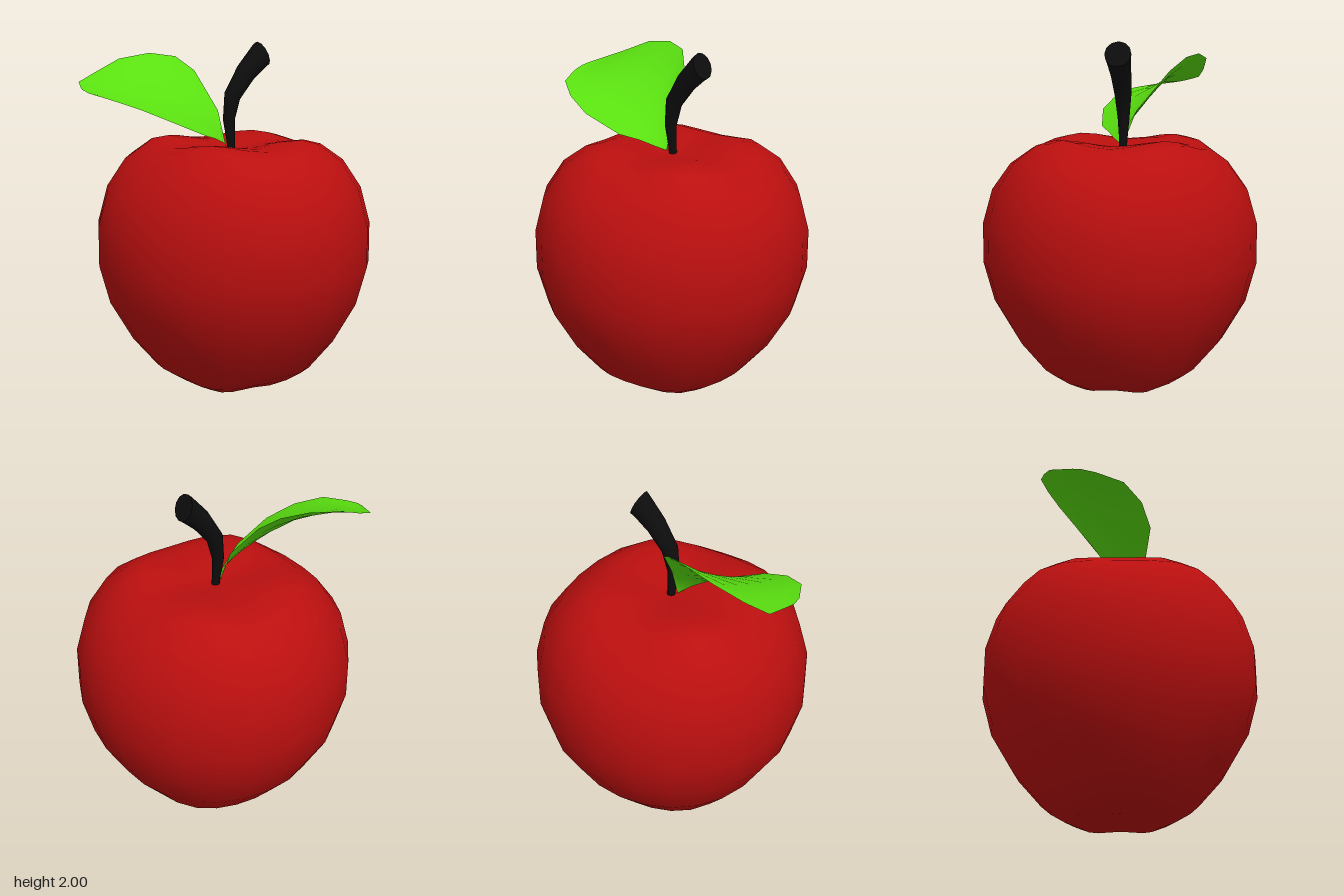
import * as THREE from 'three';
import { mergeVertices } from 'three/addons/utils/BufferGeometryUtils.js';

const material = (color, side = THREE.FrontSide) => new THREE.MeshStandardMaterial({ color, side });

// Smooth surface through rows of points; every row has the same length.
function loft(rows) {
  const n = rows[0].length;
  const index = [];
  for (let i = 0; i < rows.length - 1; i++) {
    for (let j = 0; j < n - 1; j++) {
      const a = i * n + j, b = a + n;
      index.push(a, b, a + 1, a + 1, b, b + 1);
    }
  }
  const raw = new THREE.BufferGeometry().setFromPoints(rows.flat());
  raw.setIndex(index);
  const geometry = mergeVertices(raw, 1e-4);
  geometry.computeVertexNormals();
  return geometry;
}

// Round body whose top and bottom swell into four lobes on the diagonals.
function createBody() {
  // radius, height on the axes, height on the diagonals
  const profile = [
    [0, 0.035, 0.035], [0.06, 0.025, 0.025], [0.14, 0.014, 0.008], [0.25, 0.028, 0.004],
    [0.36, 0.08, 0.055], [0.46, 0.14, 0.12], [0.6, 0.3, 0.29], [0.73, 0.52, 0.52],
    [0.79, 0.74, 0.74], [0.79, 0.97, 0.97], [0.735, 1.16, 1.18], [0.63, 1.3, 1.345],
    [0.5, 1.39, 1.437], [0.4, 1.42, 1.457], [0.28, 1.424, 1.442], [0.16, 1.415, 1.42],
    [0.07, 1.405, 1.405], [0, 1.395, 1.395],
  ];
  const sides = 24;
  const lathe = new THREE.LatheGeometry(profile.map(([r, y]) => new THREE.Vector2(r, y)), sides);
  const pos = lathe.attributes.position;
  for (let i = 0; i < pos.count; i++) {
    const [, axis, diagonal] = profile[i % profile.length];
    const angle = Math.atan2(pos.getZ(i), pos.getX(i));
    pos.setY(i, THREE.MathUtils.lerp(axis, diagonal, Math.sin(2 * angle) ** 2));
  }
  lathe.deleteAttribute('uv');
  lathe.deleteAttribute('normal');
  const geometry = mergeVertices(lathe, 1e-4);
  geometry.computeVertexNormals();
  const body = new THREE.Mesh(geometry, material(0xbb0f0f));
  body.position.x = 0.025;
  body.name = 'body';
  return body;
}

// Bent stem that widens upward and ends in a slanted flat cap.
function createStem() {
  // x, y, radius, tilt of the ring towards +x
  const stations = [
    [0.02, 1.38, 0.022, 0], [0.015, 1.44, 0.024, -0.1], [0.003, 1.56, 0.034, 0],
    [0.025, 1.695, 0.048, 0.45], [0.112, 1.825, 0.06, 0.8], [0.205, 1.92, 0.073, 1.1],
    [0.22, 1.931, 0.076, 1.15],
  ];
  const sides = 12;
  const ring = ([x, y, r, tilt], scale = 1) => Array.from({ length: sides + 1 }, (_, j) => {
    const a = (j % sides) / sides * Math.PI * 2;
    const u = Math.cos(a) * r * scale;
    return new THREE.Vector3(x + u * Math.cos(tilt), y - u * Math.sin(tilt), Math.sin(a) * r * scale - 0.017);
  });
  const stem = new THREE.Group();
  stem.name = 'stem';
  const black = material(0x0d0d0d);
  const end = stations[stations.length - 1];
  const parts = {
    stemShaft: stations.map((s) => ring(s)),
    stemCap: [ring(end), ring(end, 0.001)],
  };
  for (const [name, rows] of Object.entries(parts)) {
    const mesh = new THREE.Mesh(loft(rows), black);
    mesh.name = name;
    stem.add(mesh);
  }
  return stem;
}

// Thin twisted leaf: cross-sections run from the back edge to the front edge.
function createLeaf() {
  // back x, y, z, front x, y, z, sag in the middle
  const sections = [
    [-0.02, 1.41, -0.01, -0.02, 1.41, 0, 0],
    [-0.03, 1.61, -0.09, -0.07, 1.44, 0.05, 0.02],
    [-0.09, 1.83, -0.27, -0.14, 1.47, 0.09, 0.04],
    [-0.17, 1.91, -0.36, -0.24, 1.5, 0.15, 0.05],
    [-0.31, 1.93, -0.42, -0.46, 1.59, 0.18, 0.04],
    [-0.49, 1.9, -0.45, -0.62, 1.66, 0.13, 0.03],
    [-0.65, 1.83, -0.42, -0.75, 1.71, 0.03, 0.02],
    [-0.77, 1.78, -0.38, -0.81, 1.735, -0.12, 0.01],
    [-0.81, 1.76, -0.25, -0.82, 1.75, -0.2, 0],
  ];
  const steps = 6;
  const rows = sections.map(([bx, by, bz, fx, fy, fz, sag]) => {
    const back = new THREE.Vector3(bx, by, bz), front = new THREE.Vector3(fx, fy, fz);
    return Array.from({ length: steps + 1 }, (_, j) => {
      const t = j / steps;
      const p = back.clone().lerp(front, t);
      p.y -= sag * 4 * t * (1 - t);
      return p;
    }).reverse();
  });
  const leaf = new THREE.Mesh(loft(rows), material(0x5ae010, THREE.DoubleSide));
  leaf.name = 'leaf';
  return leaf;
}

export function createModel() {
  const model = new THREE.Group();
  model.name = 'apple';
  model.add(createBody(), createStem(), createLeaf());
  return model;
}
